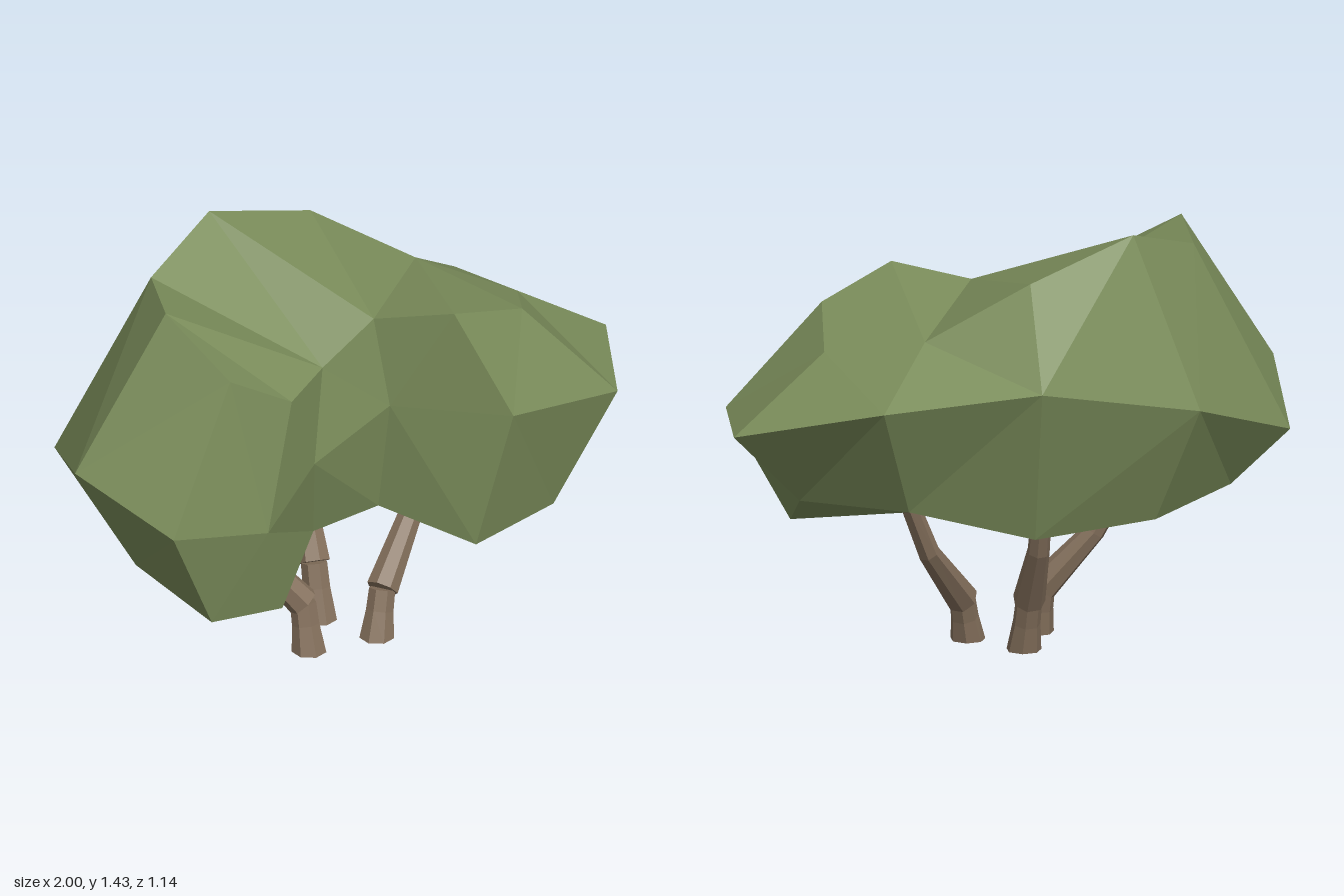
import * as THREE from 'three';

const leafMat = new THREE.MeshStandardMaterial({ color: 0x7a8c5a, flatShading: true });
const barkMat = new THREE.MeshStandardMaterial({ color: 0x84705c, flatShading: true });

function meshFrom(name, tris, material) {
  const g = new THREE.BufferGeometry().setFromPoints(tris);
  g.computeVertexNormals();
  const m = new THREE.Mesh(g, material);
  m.name = name;
  return m;
}

// Quad p, q, r, s (counter-clockwise), split along its shorter diagonal
function quad(out, p, q, r, s) {
  if (p.distanceTo(r) < q.distanceTo(s)) out.push(p, q, r, p, r, s);
  else out.push(p, q, s, q, r, s);
}

const toPoints = (list) => list.map((p) => new THREE.Vector3(...p));

// Kidney-shaped canopy: three matching rings running left, back, right, front
function createCanopy() {
  const crown = toPoints([
    [-0.67, 1.355, 0.18], [-0.6, 1.335, -0.1], [-0.32, 1.435, -0.27], [0.065, 1.325, -0.33],
    [0.39, 1.135, -0.22], [0.65, 1.07, 0.01], [0.55, 1.16, 0.28], [0.27, 1.245, 0.37],
    [0.05, 1.2, 0.22], [-0.14, 1.07, 0.24], [-0.31, 1.05, 0.38], [-0.55, 1.2, 0.43]]);
  const waist = toPoints([
    [-1, 0.845, 0.2], [-0.89, 0.71, -0.22], [-0.47, 0.88, -0.48], [0.12, 1.017, -0.57],
    [0.61, 0.96, -0.41], [0.995, 0.835, -0.06], [0.86, 0.82, 0.345], [0.43, 0.89, 0.485],
    [0.09, 0.89, 0.26], [-0.19, 0.75, 0.29], [-0.45, 0.66, 0.51], [-0.81, 0.738, 0.567]]);
  const hem = toPoints([
    [-0.78, 0.455, 0.19], [-0.71, 0.525, -0.15], [-0.37, 0.49, -0.34], [0.08, 0.485, -0.41],
    [0.47, 0.585, -0.28], [0.74, 0.58, 0], [0.65, 0.43, 0.305], [0.33, 0.4, 0.41],
    [0.075, 0.495, 0.2], [-0.155, 0.45, 0.2], [-0.365, 0.325, 0.43], [-0.635, 0.353, 0.475]]);
  const cap = [[0, 11, 10], [0, 10, 9], [1, 0, 9], [2, 1, 9], [9, 8, 2],
    [8, 3, 2], [8, 4, 3], [8, 7, 4], [7, 6, 4], [6, 5, 4]];

  const tris = [];
  for (const [upper, lower] of [[crown, waist], [waist, hem]]) {
    for (let i = 0; i < 12; i++) {
      const j = (i + 1) % 12;
      quad(tris, upper[i], upper[j], lower[j], lower[i]);
    }
  }
  for (const [a, b, c] of cap) {
    tris.push(crown[a], crown[b], crown[c]);
    tris.push(hem[a], hem[c], hem[b]);
  }
  return meshFrom('canopy', tris, leafMat);
}

// Closed faceted limb through stations [x, y, z, radius]; flatStart keeps its foot level
function createLimb(name, stations, flatStart, sides = 7) {
  const pts = toPoints(stations.map((s) => s.slice(0, 3)));
  const last = pts.length - 1;
  const rings = pts.map((p, i) => {
    const dir = pts[Math.min(i + 1, last)].clone().sub(pts[Math.max(i - 1, 0)]).normalize();
    if (flatStart && i === 0) dir.set(0, 1, 0);
    const turn = new THREE.Quaternion().setFromUnitVectors(new THREE.Vector3(0, 1, 0), dir);
    return Array.from({ length: sides }, (_, k) => {
      const a = (k / sides) * Math.PI * 2;
      return new THREE.Vector3(Math.sin(a), 0, Math.cos(a))
        .multiplyScalar(stations[i][3]).applyQuaternion(turn).add(p);
    });
  });
  const tris = [];
  for (let k = 0; k < sides; k++) {
    const n = (k + 1) % sides;
    for (let i = 0; i < last; i++) {
      quad(tris, rings[i][k], rings[i][n], rings[i + 1][n], rings[i + 1][k]);
    }
    tris.push(pts[0], rings[0][n], rings[0][k], pts[last], rings[last][k], rings[last][n]);
  }
  return meshFrom(name, tris, barkMat);
}

// Stem: a flared stump with a wider-collared branch leaning out of it
function createStem(name, foot, joint, bend, tip) {
  const stem = new THREE.Group();
  stem.name = name;
  const mid = foot.map((v, i) => v * 0.45 + joint[i] * 0.55);
  stem.add(createLimb('stump', [[...foot, 0.058], [...mid, 0.046], [...joint, 0.044]], true));
  stem.add(createLimb('branch', [[...joint, 0.054], [...bend, 0.037], [...tip, 0.032]], false));
  return stem;
}

export function createModel() {
  const model = new THREE.Group();
  model.name = 'shrub';
  model.add(createCanopy());
  model.add(createStem('rightStem', [-0.16, 0, 0.177], [-0.165, 0.16, 0.14], [-0.32, 0.35, 0.07], [-0.42, 0.53, 0.04]));
  model.add(createStem('leftStem', [0.08, 0, 0.177], [0.115, 0.15, 0.14], [0.29, 0.36, 0], [0.38, 0.56, -0.04]));
  model.add(createStem('backStem', [-0.04, 0, -0.012], [-0.037, 0.18, -0.065], [-0.02, 0.38, -0.19], [-0.01, 0.56, -0.25]));
  return model;
}
